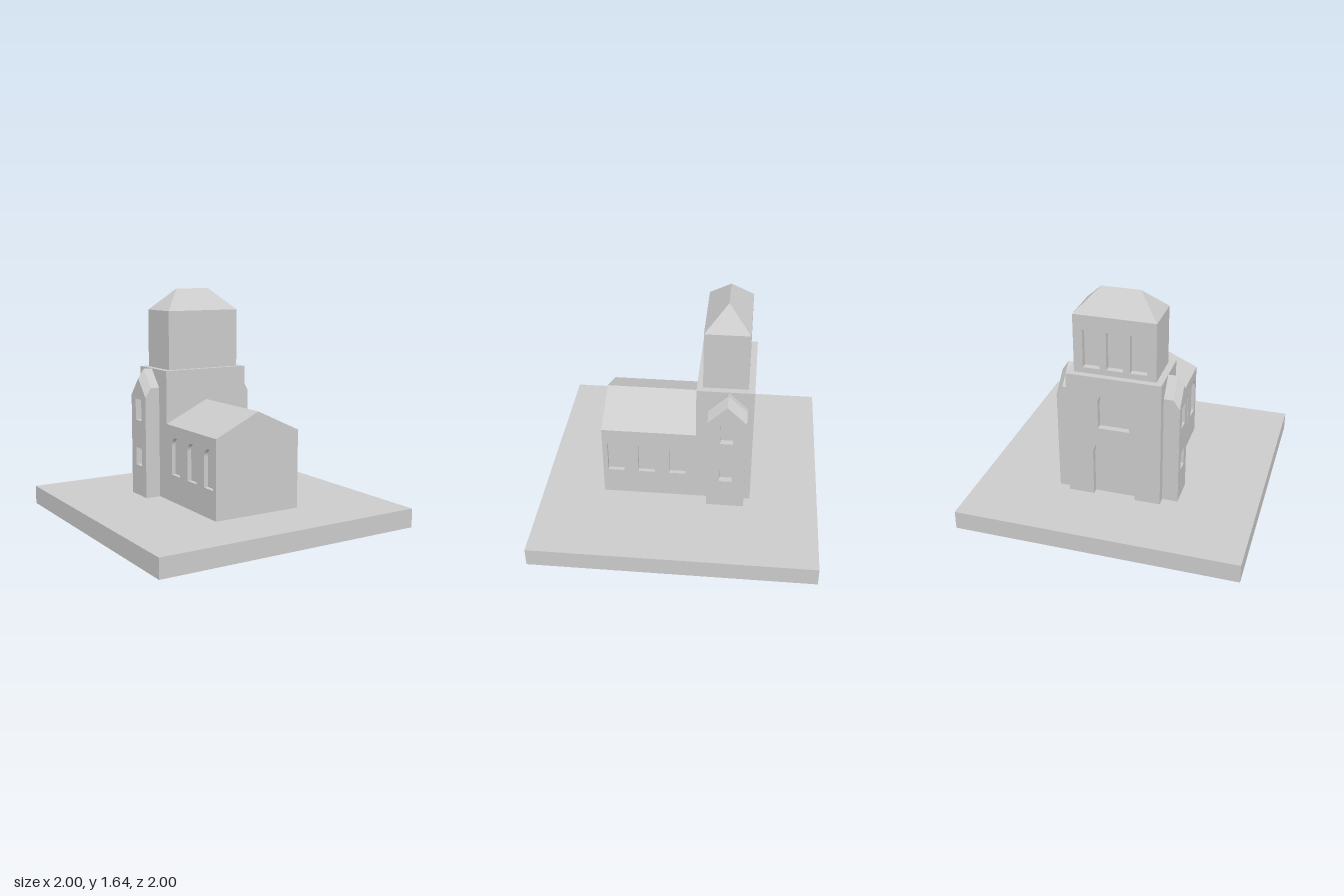
import * as THREE from 'three';
import { ConvexGeometry } from 'three/addons/geometries/ConvexGeometry.js';

const GROUND = 0.135, FOOT = 0.1; // walls sink a little into the base slab
const material = new THREE.MeshStandardMaterial({ color: 0xcccccc, flatShading: true });

const mesh = (name, geometry) => {
  const m = new THREE.Mesh(geometry, material);
  m.name = name;
  return m;
};

// Box given by its limits on each axis
function block(name, [x0, x1], [y0, y1], [z0, z1]) {
  const g = new THREE.BoxGeometry(x1 - x0, y1 - y0, z1 - z0);
  g.translate((x0 + x1) / 2, (y0 + y1) / 2, (z0 + z1) / 2);
  return mesh(name, g);
}

const polygon = (points) => new THREE.Shape(points.map(([u, v]) => new THREE.Vector2(u, v)));
const rect = (u0, u1, v0, v1) => polygon([[u0, v0], [u1, v0], [u1, v1], [u0, v1]]);
const gable = (c, half, eave, peak) =>
  polygon([[c - half, FOOT], [c + half, FOOT], [c + half, eave], [c, peak], [c - half, eave]]);

// Round-headed opening
function arch(c, half, v0, top) {
  const p = new THREE.Path();
  p.moveTo(c - half, v0);
  p.lineTo(c + half, v0);
  p.absarc(c, top - half, half, 0, Math.PI, false);
  p.closePath();
  return p;
}

function extrude(shape, depth, holes = []) {
  shape.holes.push(...holes);
  return new THREE.ExtrudeGeometry(shape, { depth, bevelEnabled: false, curveSegments: 16 });
}

// Turns an extrusion to face sideways (s = 1 or -1); its drawing axis is u = -s * z
function faceSide(m, s, inner) {
  m.rotation.y = s * Math.PI / 2;
  m.position.x = s * inner;
  return m;
}

// Turns an extrusion to face the back; its drawing axis is u = -x
function faceBack(m, inner) {
  m.rotation.y = Math.PI;
  m.position.z = inner;
  return m;
}

function createNave() {
  const nave = new THREE.Group();
  nave.name = 'nave';
  const z0 = -0.115, z1 = 0.555, w = 0.333, t = 0.03;
  nave.add(block('naveCore', [-w + t, w - t], [FOOT, 0.69], [z0, z1]));
  const roof = mesh('naveRoof', extrude(polygon([[-w, 0.69], [w, 0.69], [0, 0.845]]), z1 - z0));
  roof.position.z = z0;
  nave.add(roof);
  // Side walls with three arched windows each
  for (const s of [1, -1]) {
    const holes = [0.46, 0.24, 0.018].map((z) => arch(-s * z, 0.059, 0.335, 0.605));
    const u = [-s * z0, -s * z1].sort((a, b) => a - b);
    nave.add(faceSide(mesh('naveSideWall', extrude(rect(u[0], u[1], FOOT, 0.69), t, holes)), s, w - t));
  }
  return nave;
}

function createTower() {
  const tower = new THREE.Group();
  tower.name = 'tower';
  const t = 0.045;
  // Lower stage, with the door and a window in its back wall
  tower.add(block('towerCore', [-0.333, 0.333], [FOOT, 1.07], [-0.512 + t, -0.115]));
  const openings = [arch(0, 0.15, 0.11, 0.61), arch(0, 0.11, 0.68, 0.975)];
  tower.add(faceBack(mesh('entranceWall', extrude(rect(-0.333, 0.333, FOOT, 1.07), t, openings)), -0.512 + t));

  // Belfry with three openings
  tower.add(block('belfryCore', [-0.287, 0.287], [1.07, 1.49], [-0.467 + t, -0.157]));
  const slots = [-0.165, 0, 0.165].map((x) => rect(x - 0.058, x + 0.058, 1.11, 1.385));
  tower.add(faceBack(mesh('belfryWall', extrude(rect(-0.287, 0.287, 1.07, 1.49), t, slots)), -0.467 + t));

  // Hipped roof
  const corners = [];
  for (const s of [1, -1]) {
    corners.push(new THREE.Vector3(s * 0.287, 1.49, -0.467));
    corners.push(new THREE.Vector3(s * 0.287, 1.49, -0.157));
    corners.push(new THREE.Vector3(s * 0.135, 1.645, -0.312));
  }
  tower.add(mesh('belfryRoof', new ConvexGeometry(corners)));
  return tower;
}

// Gabled side wing whose roof slopes down towards the outer wall
function createWing(name, s, outer, half) {
  const wing = new THREE.Group();
  wing.name = name;
  const t = 0.045, inner = 0.31, c = s * 0.334, drop = 0.067;
  const core = extrude(gable(c, half, 0.94, 1.07), outer - t - inner);
  wing.add(faceSide(mesh('wingCore', core), s, inner));

  const windows = [[0.36, 0.49], [0.695, 0.85]].map(([v0, v1]) => rect(c - 0.045, c + 0.045, v0, v1));
  const wall = extrude(gable(c, half, 0.94 - drop, 1.07 - drop), t, windows);
  const p = wall.attributes.position;
  for (let i = 0; i < p.count; i++) {
    if (p.getZ(i) < t / 2 && p.getY(i) > 0.86) p.setY(i, p.getY(i) + drop);
  }
  wall.computeVertexNormals();
  wing.add(faceSide(mesh('wingWall', wall), s, outer - t));
  return wing;
}

export function createModel() {
  const model = new THREE.Group();
  model.name = 'church';
  model.add(block('baseSlab', [-1, 1], [0, GROUND], [-1, 1]));
  model.add(createNave(), createTower());
  model.add(createWing('leftWing', 1, 0.42, 0.134));
  model.add(createWing('rightWing', -1, 0.445, 0.11));
  return model;
}
